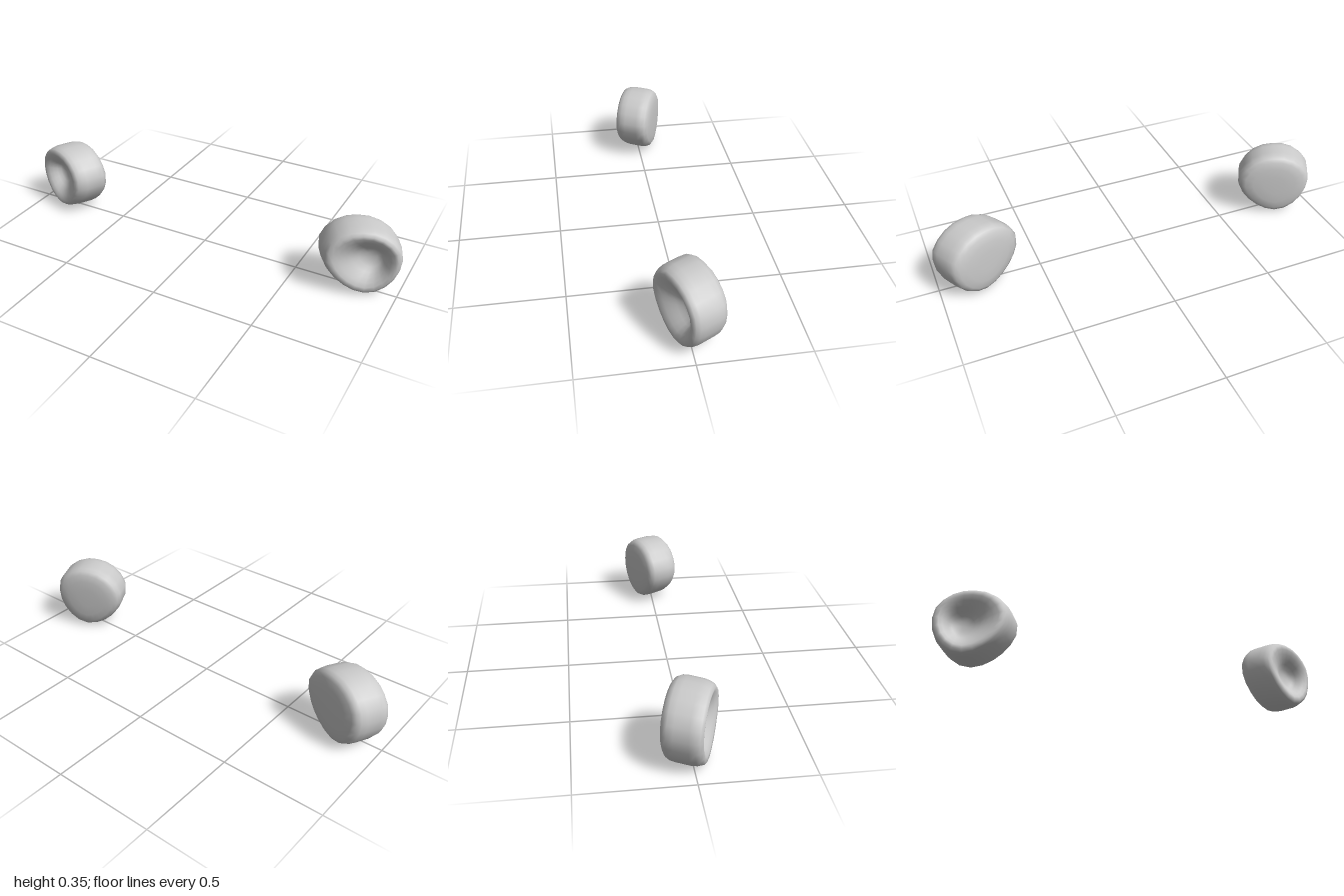
import * as THREE from 'three';

// Rounded, slightly triangular outline [u outward, v up], counter-clockwise
const OUTLINE = [
  [0.187, 0.01], [0.173, 0.07], [0.118, 0.128], [0.05, 0.158], [-0.02, 0.162],
  [-0.085, 0.148], [-0.138, 0.112], [-0.174, 0.06], [-0.184, 0.01], [-0.164, -0.052],
  [-0.116, -0.115], [-0.052, -0.162], [0.015, -0.184], [0.07, -0.177], [0.128, -0.138], [0.172, -0.072],
];

// Rings from the middle of the back, round the wall, into the bowl:
// [scale, position along the axis, outward shift, vertical shift]
const RINGS = [
  [0.3, -0.104, -0.008, 0], [0.6, -0.102, -0.008, 0], [0.82, -0.095, -0.008, 0], [0.93, -0.083, -0.008, 0],
  [0.985, -0.064, -0.008, 0], [1, -0.035, -0.005, 0], [0.995, 0.03, 0.004, 0], [0.97, 0.056, 0.008, 0],
  [0.925, 0.075, 0.01, 0], [0.85, 0.086, 0.01, 0], [0.75, 0.084, 0.013, 0], [0.63, 0.073, 0.02, -0.002],
  [0.51, 0.058, 0.03, -0.004], [0.4, 0.041, 0.04, -0.006], [0.29, 0.024, 0.049, -0.007],
  [0.15, 0.015, 0.053, -0.008],
];

const SEGMENTS = 20;
const CENTRE = new THREE.Vector3(0.803, 0.184, 0);
const AXIS = new THREE.Vector3(0.36, 0, 0.933);
const OUTWARD = new THREE.Vector3(0.933, 0, -0.36);

function cupGeometry(side) {
  const curve = new THREE.CatmullRomCurve3(
    OUTLINE.map(([u, v]) => new THREE.Vector3(u, v, 0)), true);
  const outline = curve.getSpacedPoints(SEGMENTS).slice(0, SEGMENTS);
  const positions = [];
  const index = [];

  const add = (u, v, w) => {
    const p = CENTRE.clone().addScaledVector(OUTWARD, u).addScaledVector(AXIS, w);
    positions.push(p.x * side, p.y + v, p.z);
  };
  // Mirrored copies need the opposite corner order
  const face = (a, b, c) => (side > 0 ? index.push(a, b, c) : index.push(a, c, b));

  for (const [s, w, du, dv] of RINGS) {
    for (const p of outline) add(p.x * s + du, p.y * s + dv, w);
  }
  const last = (RINGS.length - 1) * SEGMENTS;
  const back = RINGS.length * SEGMENTS;
  add(-0.008, 0, -0.104);
  add(0.054, -0.008, 0.015);

  for (let i = 0; i < SEGMENTS; i++) {
    const j = (i + 1) % SEGMENTS;
    for (let r = 0; r < last; r += SEGMENTS) {
      face(r + i, r + j, r + SEGMENTS + j);
      face(r + i, r + SEGMENTS + j, r + SEGMENTS + i);
    }
    face(back, j, i);
    face(back + 1, last + i, last + j);
  }

  const geometry = new THREE.BufferGeometry();
  geometry.setAttribute('position', new THREE.Float32BufferAttribute(positions, 3));
  geometry.setIndex(index);
  geometry.computeVertexNormals();
  return geometry;
}

export function createModel() {
  const model = new THREE.Group();
  model.name = 'earPair';
  const material = new THREE.MeshStandardMaterial({ color: 0xcccccc });

  // Two mirrored hollow ears, turned outward
  for (const [name, side] of [['leftEar', 1], ['rightEar', -1]]) {
    const ear = new THREE.Mesh(cupGeometry(side), material);
    ear.name = name;
    model.add(ear);
  }
  return model;
}
